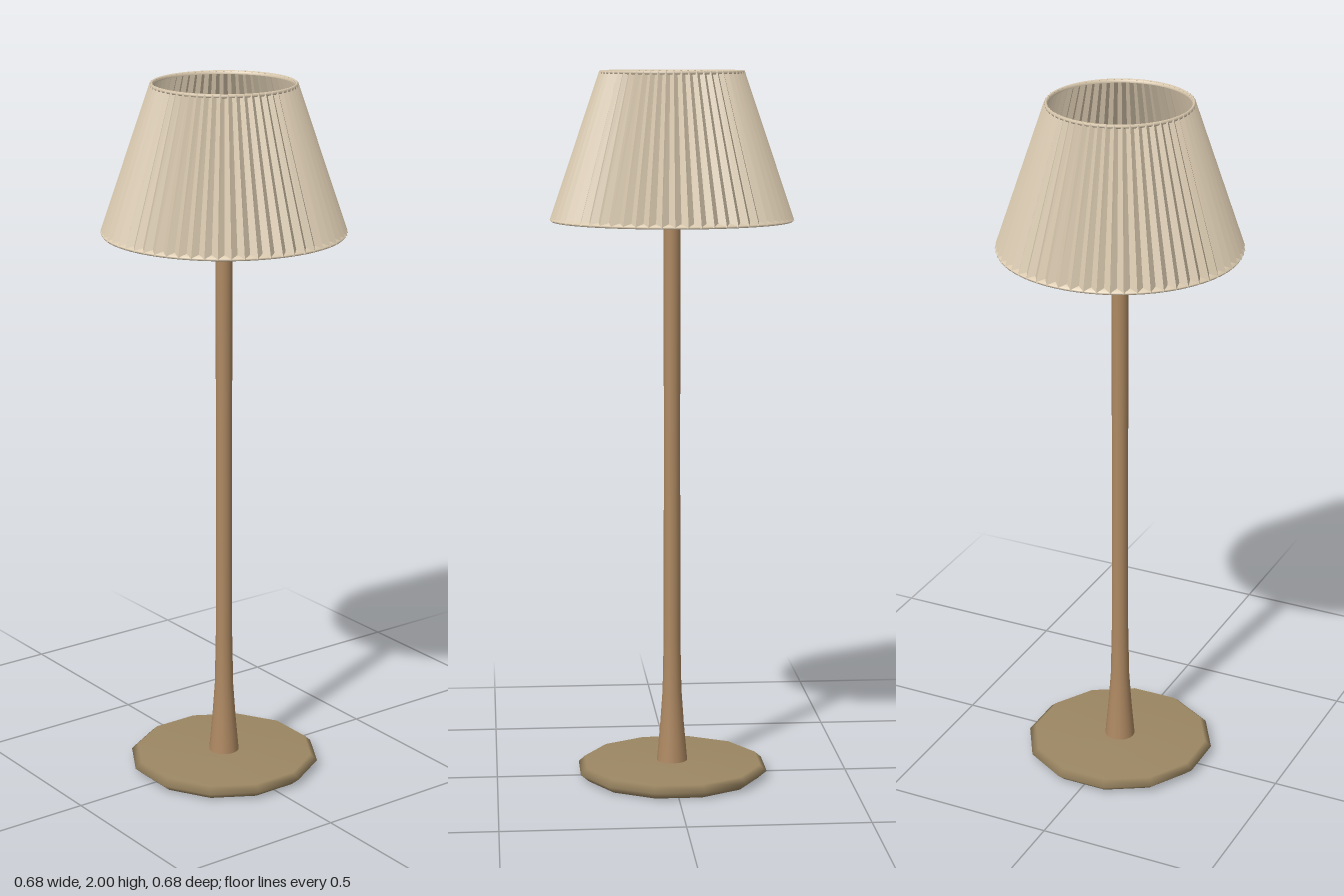
import * as THREE from 'three';

const shadeMat = new THREE.MeshStandardMaterial({ color: 0xdccbb0, side: THREE.DoubleSide });
const pleatMat = new THREE.MeshStandardMaterial({ color: 0xd8c8ae, side: THREE.DoubleSide, flatShading: true });
const woodMat = new THREE.MeshStandardMaterial({ color: 0xae8962 });
const brassMat = new THREE.MeshStandardMaterial({ color: 0x9c8763 });

// Revolves [radius, height] pairs, listed from bottom to top
function lathe(name, points, sides, material) {
  const profile = points.map(([r, y]) => new THREE.Vector2(r, y));
  const mesh = new THREE.Mesh(new THREE.LatheGeometry(profile, sides), material);
  mesh.name = name;
  return mesh;
}

// Zigzag cone: every other column of vertices is pulled inwards
function pleatedCone(pleats, bottomY, topY) {
  const columns = pleats * 2;
  const middle = (topY + bottomY) / 2;
  const geometry = new THREE.CylinderGeometry(1, 1, topY - bottomY, columns, 1, true);
  geometry.translate(0, middle, 0);
  const pos = geometry.attributes.position;
  for (let i = 0; i < pos.count; i++) {
    const column = i % (columns + 1);
    const isTip = column % 2 === 1;
    const isTop = pos.getY(i) > middle;
    const r = isTop ? (isTip ? 0.2 : 0.191) : (isTip ? 0.339 : 0.325);
    const a = (column / columns) * Math.PI * 2;
    pos.setXYZ(i, r * Math.sin(a), pos.getY(i), r * Math.cos(a));
  }
  geometry.computeVertexNormals();
  const mesh = new THREE.Mesh(geometry, pleatMat);
  mesh.name = 'pleatedShade';
  return mesh;
}

export function createModel() {
  const lamp = new THREE.Group();
  lamp.name = 'tableLamp';

  // Twelve-sided foot with a softly bevelled rim
  const base = lathe('base', [
    [0, 0.004], [0.25, 0.004], [0.274, 0.025], [0.255, 0.042], [0, 0.045],
  ], 12, brassMat);
  base.rotation.y = Math.PI / 12;
  lamp.add(base);

  // Slim stem that flares at the foot and ends just above the diffuser
  lamp.add(lathe('stem', [
    [0.044, 0.04], [0.034, 0.15], [0.027, 0.25], [0.024, 0.4], [0.023, 1], [0.024, 1.62],
    [0.02, 1.628], [0, 1.632],
  ], 16, woodMat));

  // Shade: pleats with a narrow band at each end
  const shade = new THREE.Group();
  shade.name = 'shade';
  shade.add(pleatedCone(60, 1.589, 1.998));
  shade.add(lathe('bottomRim', [
    [0.306, 1.598], [0.31, 1.586], [0.335, 1.586], [0.337, 1.592], [0.32, 1.6], [0.306, 1.598],
  ], 60, shadeMat));
  shade.add(lathe('topRim', [
    [0.191, 1.99], [0.199, 1.99], [0.2, 1.996], [0.196, 2], [0.191, 1.996], [0.191, 1.99],
  ], 60, shadeMat));

  // Thin diffuser disc closing the shade, with a soft edge
  shade.add(lathe('diffuser', [
    [0, 1.598], [0.304, 1.594], [0.304, 1.608], [0, 1.614],
  ], 60, shadeMat));
  lamp.add(shade);

  return lamp;
}
